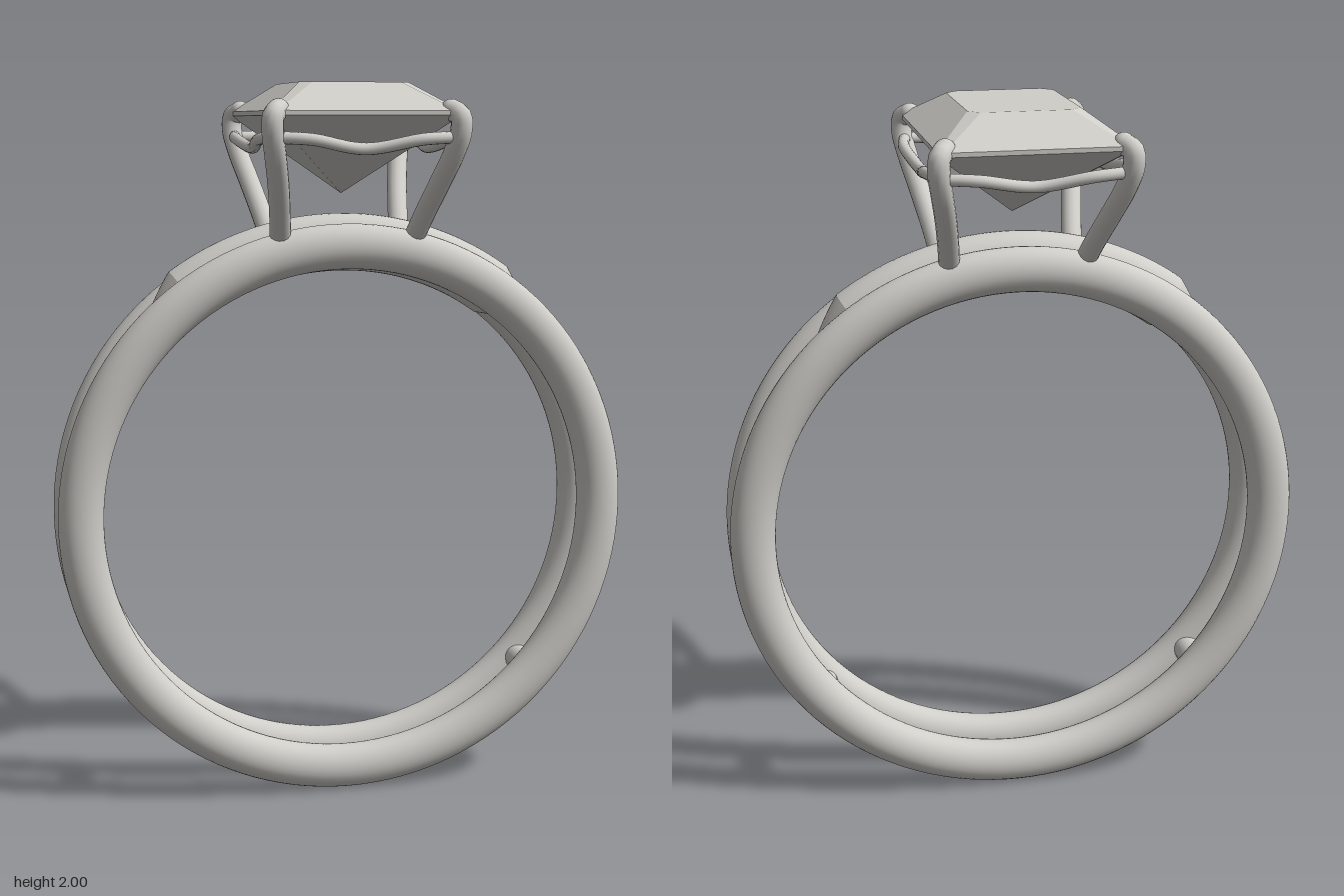
import * as THREE from 'three';

const CY = 0.81; // height of the ring centre
const metal = new THREE.MeshStandardMaterial({ color: 0xd0cec9 });
metal.name = 'pale silver';

const V = (x, y, z) => new THREE.Vector3(x, y, z);

function add(parent, name, geometry) {
  const mesh = new THREE.Mesh(geometry, metal);
  mesh.name = name;
  parent.add(mesh);
  return mesh;
}

function tube(points, radius, segments = 40) {
  return new THREE.TubeGeometry(new THREE.CatmullRomCurve3(points), segments, radius, 14);
}

// Elliptical section swept round the ring from angle t0 to t1 (from the top), scaled s0 to s1
function arcSweep(t0, t1, s0, s1, steps) {
  const sides = 32, pos = [], index = [];
  for (let i = 0; i <= steps; i++) {
    const k = i / steps;
    const t = THREE.MathUtils.degToRad(t0 + (t1 - t0) * k), s = s0 + (s1 - s0) * k;
    for (let j = 0; j < sides; j++) {
      const u = (j / sides) * Math.PI * 2;
      const r = 0.755 + s * 0.08 * Math.cos(u);
      pos.push(Math.sin(t) * r, CY + Math.cos(t) * r, s * 0.07 * Math.sin(u));
      if (i < steps) {
        const a = i * sides + j, b = i * sides + ((j + 1) % sides);
        index.push(a, b, a + sides, b, b + sides, a + sides);
      }
    }
  }
  const g = new THREE.BufferGeometry();
  g.setAttribute('position', new THREE.Float32BufferAttribute(pos, 3));
  g.setIndex(index);
  g.computeVertexNormals();
  return g;
}

// Rectangle with cut corners at height y, anticlockwise from above
function cutRect(hx, hz, c, y) {
  const x = hx - c, z = hz - c;
  return [[hx, z], [hx, -z], [x, -hz], [-x, -hz], [-hx, -z], [-hx, z], [-x, hz], [x, hz]]
    .map(([px, pz]) => V(px, y, pz));
}

// Step-cut stone: pointed pavilion, thin girdle, sloped crown and flat table
function gemGeometry() {
  const low = cutRect(0.255, 0.325, 0.015, 1.912);
  const girdle = cutRect(0.255, 0.325, 0.015, 1.924);
  const table = cutRect(0.15, 0.19, 0.03, 2.0);
  const apex = V(0, 1.7, 0), top = V(0, 2, 0);
  const pts = [];
  for (let i = 0; i < 8; i++) {
    const n = (i + 1) % 8;
    pts.push(apex, low[n], low[i]);
    for (const [a, b] of [[low, girdle], [girdle, table]]) {
      pts.push(a[i], a[n], b[n], a[i], b[n], b[i]);
    }
    pts.push(table[i], table[n], top);
  }
  const g = new THREE.BufferGeometry().setFromPoints(pts);
  g.computeVertexNormals();
  return g;
}

export function createModel() {
  const model = new THREE.Group();
  model.name = 'ring';

  // Twin bands
  for (const s of [1, -1]) {
    const band = new THREE.TorusGeometry(0.7475, 0.0625, 28, 128);
    band.scale(1, 1, 0.83);
    band.translate(0, CY, s * 0.083);
    add(model, s > 0 ? 'frontBand' : 'backBand', band);
  }

  // Bridge between the bands, tapering to a point at each end
  add(model, 'bridge', arcSweep(-35.5, 35.5, 1, 1, 48));
  add(model, 'rightBridgeTip', arcSweep(-48.5, -35.5, 0, 1, 12));
  add(model, 'leftBridgeTip', arcSweep(35.5, 48.5, 1, 0, 12));

  // Small bars joining the bands low down
  for (const s of [1, -1]) {
    const bar = new THREE.CylinderGeometry(0.04, 0.04, 0.16, 24);
    bar.rotateX(Math.PI / 2);
    bar.translate(s * 0.555, 0.31, 0);
    add(model, s > 0 ? 'leftBar' : 'rightBar', bar);
  }

  // Four claws with rounded ends
  const claws = new THREE.Group();
  claws.name = 'claws';
  model.add(claws);
  for (const sx of [1, -1]) for (const sz of [1, -1]) {
    const path = [
      [0.188, 1.575, 0.08], [0.2, 1.64, 0.14], [0.22, 1.73, 0.225], [0.24, 1.81, 0.29],
      [0.252, 1.87, 0.318], [0.25, 1.91, 0.318], [0.232, 1.926, 0.292],
    ].map(([x, y, z]) => V(sx * x, y, sz * z));
    add(claws, 'claw', tube(path, 0.029));
    for (const p of [path[0], path[path.length - 1]]) {
      add(claws, 'clawEnd', new THREE.SphereGeometry(0.029, 16, 12)).position.copy(p);
    }
  }

  // Wavy gallery wires under the stone
  const gallery = new THREE.Group();
  gallery.name = 'gallery';
  model.add(gallery);
  for (const s of [1, -1]) {
    add(gallery, 'endWire', tube([
      V(-0.245, 1.855, s * 0.31), V(-0.15, 1.85, s * 0.325), V(0, 1.825, s * 0.3),
      V(0.15, 1.85, s * 0.325), V(0.245, 1.855, s * 0.31),
    ], 0.016));
    add(gallery, 'sideWire', tube([
      V(s * 0.245, 1.855, -0.31), V(s * 0.264, 1.85, -0.19), V(s * 0.25, 1.825, 0),
      V(s * 0.264, 1.85, 0.19), V(s * 0.245, 1.855, 0.31),
    ], 0.016));
  }

  add(model, 'gem', gemGeometry());
  return model;
}
